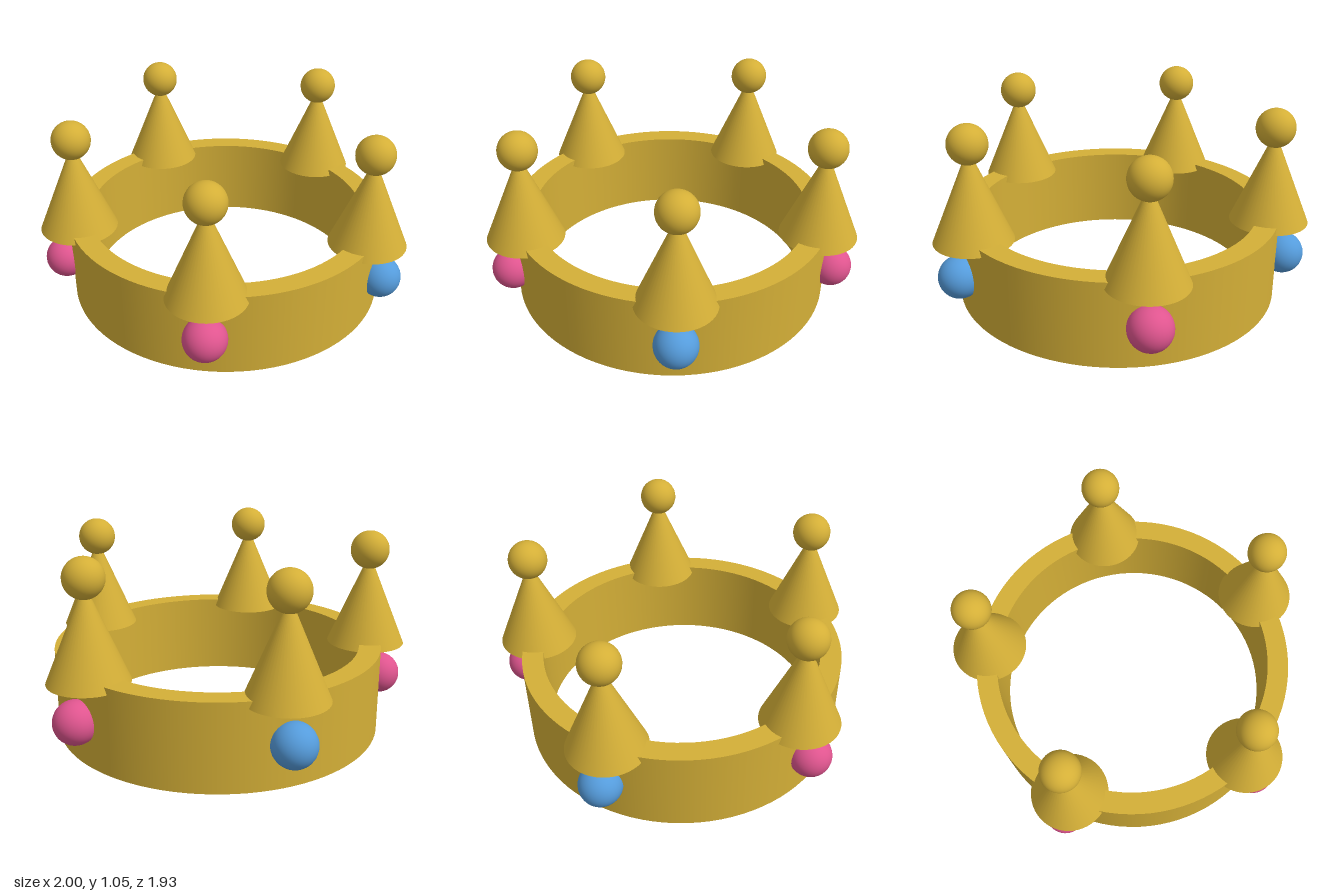
import * as THREE from 'three';

const gold = new THREE.MeshStandardMaterial({ name: 'gold', color: 0xd4af37 });
const pink = new THREE.MeshStandardMaterial({ name: 'pink gem', color: 0xe0558f });
const blue = new THREE.MeshStandardMaterial({ name: 'blue gem', color: 0x559cdc });

const POINTS = 5;
const CENTRE_Z = -0.078;

function addPart(parent, name, geometry, material, radius, y) {
  const mesh = new THREE.Mesh(geometry, material);
  mesh.name = name;
  mesh.position.set(0, y, radius);
  parent.add(mesh);
}

export function createModel() {
  const crown = new THREE.Group();
  crown.name = 'crown';

  // Hollow band; doubled corner points keep its edges sharp
  const outer = 0.886, inner = 0.77, top = 0.463;
  const corners = [[outer, 0], [outer, top], [inner, top], [inner, 0]];
  const profile = [];
  corners.forEach((corner, i) => {
    profile.push(new THREE.Vector2(...corner), new THREE.Vector2(...corners[(i + 1) % 4]));
  });
  const band = new THREE.Mesh(new THREE.LatheGeometry(profile, 96), gold);
  band.name = 'band';
  band.position.z = CENTRE_Z;
  crown.add(band);

  // Five spikes, each with a ball on its tip and a gem below
  const spike = new THREE.ConeGeometry(0.21, 0.5, 48);
  const ball = new THREE.SphereGeometry(0.104, 32, 24);
  const gem = new THREE.SphereGeometry(0.114, 32, 24);
  for (let i = 0; i < POINTS; i++) {
    const point = new THREE.Group();
    point.name = `crownPoint${i + 1}`;
    point.position.z = CENTRE_Z;
    point.rotation.y = (i / POINTS) * Math.PI * 2;
    addPart(point, 'spike', spike, gold, 0.83, 0.676);
    addPart(point, 'ball', ball, gold, 0.83, 0.947);
    addPart(point, 'gem', gem, i % 2 ? blue : pink, 0.918, 0.233);
    crown.add(point);
  }
  return crown;
}
